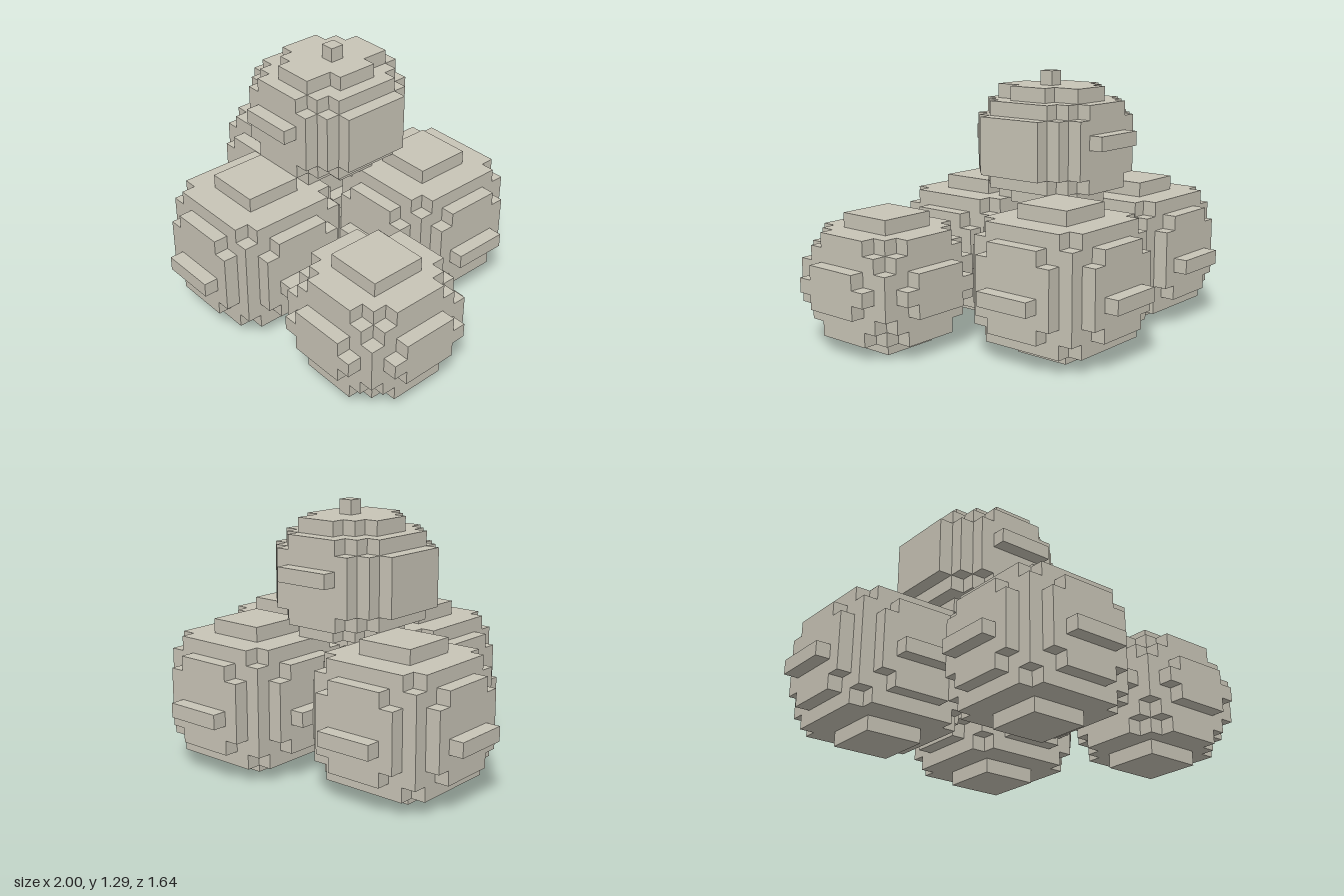
import * as THREE from 'three';

const UNIT = 1 / 14; // edge of one block

// Stepped outline: union of rectangles [right, halfDepth, left = right], narrow and deep first
function steppedShape(steps) {
  const side = (s, sign) => (sign > 0 ? s[0] : -(s[2] ?? s[0]));
  const quadrant = (sx, sz) => {
    const pts = [];
    steps.forEach((s, i) => {
      if (i > 0) pts.push([side(steps[i - 1], sx), s[1] * sz]);
      pts.push([side(s, sx), s[1] * sz]);
    });
    return pts;
  };
  const pts = [
    ...quadrant(1, 1), ...quadrant(1, -1).reverse(),
    ...quadrant(-1, -1), ...quadrant(-1, 1).reverse(),
  ].filter((p, i, a) => {
    const q = a[(i + a.length - 1) % a.length];
    return p[0] !== q[0] || p[1] !== q[1];
  });
  return new THREE.Shape(pts.map(([x, y]) => new THREE.Vector2(x, y)));
}

// Layers as [bottom, top, steps]
const CAP = [[2, 2]];
const SMALL = [[3, 4], [4, 3]];
const MEDIUM = [[2, 5], [4, 4], [5, 2]];
const LARGE = [[3, 5], [4, 4], [5, 3]];

const bigBall = [
  [0, 1, CAP], [1, 2, SMALL], [2, 3, MEDIUM], [3, 7, LARGE],
  [7, 8, MEDIUM], [8, 9, SMALL], [9, 10, CAP],
];
const smallBall = [
  [0, 1, CAP], [1, 2, [[2, 4], [3, 3], [4, 2]]], [2, 3, SMALL],
  [3, 4, MEDIUM], [4, 5, LARGE], [5, 6, MEDIUM],
  [6, 7, SMALL], [7, 8, [[2, 4], [3, 3], [4, 2]]], [8, 9, CAP],
];
const crown = [[2, 3.5, 1], [2, 2.5, 2], [3, 1.5]];
const topBall = [
  [9, 10, crown], [10, 11, [[2, 4.5], [3, 3.5], [4, 2.5]]],
  [11, 15, [[3, 4.5], [4, 3.5], [5, 2.5]]],
  [15, 16, [[2, 4.5], [3, 3.5], [4, 2.5]]], [16, 17, crown],
];

export function createModel() {
  const model = new THREE.Group();
  model.name = 'ballPile';
  const stone = new THREE.MeshStandardMaterial({ color: 0xc8c4b6 });
  stone.name = 'paleStone';

  function addBall(name, x, z, layers) {
    const ball = new THREE.Group();
    ball.name = name;
    ball.position.set(x, 0, z);
    for (const [bottom, top, steps] of layers) {
      const geo = new THREE.ExtrudeGeometry(steppedShape(steps), { depth: top - bottom, bevelEnabled: false });
      geo.rotateX(-Math.PI / 2);
      const mesh = new THREE.Mesh(geo, stone);
      mesh.name = 'ballLayer';
      mesh.position.y = bottom;
      ball.add(mesh);
    }
    model.add(ball);
    return ball;
  }

  function addBlock(parent, name, size, pos) {
    const mesh = new THREE.Mesh(new THREE.BoxGeometry(...size), stone);
    mesh.name = name;
    mesh.position.set(...pos);
    parent.add(mesh);
  }

  // Three large balls, each with a ridge on all four sides
  for (const [name, x, z] of [['frontBall', -2, 5.5], ['backRightBall', -8, -3.5], ['backLeftBall', 3, -5.5]]) {
    const ball = addBall(name, x, z, bigBall);
    for (const s of [-1, 1]) {
      addBlock(ball, 'sideRidge', [1, 1, 4], [5.5 * s, 4.5, 0]);
      addBlock(ball, 'faceRidge', [4, 1, 1], [0, 4.5, 5.5 * s]);
    }
  }

  // Smaller ball at the front left
  addBall('smallBall', 9, 4.5, smallBall);

  // Ball resting on top, with front and back ridges and a small knob
  const upper = addBall('topBall', -2, -1, topBall);
  for (const s of [-1, 1]) addBlock(upper, 'faceRidge', [4, 1, 1], [0, 13.5, 5 * s]);
  addBlock(upper, 'knob', [1, 1, 1], [0.5, 17.5, 0]);

  model.scale.setScalar(UNIT);
  return model;
}
